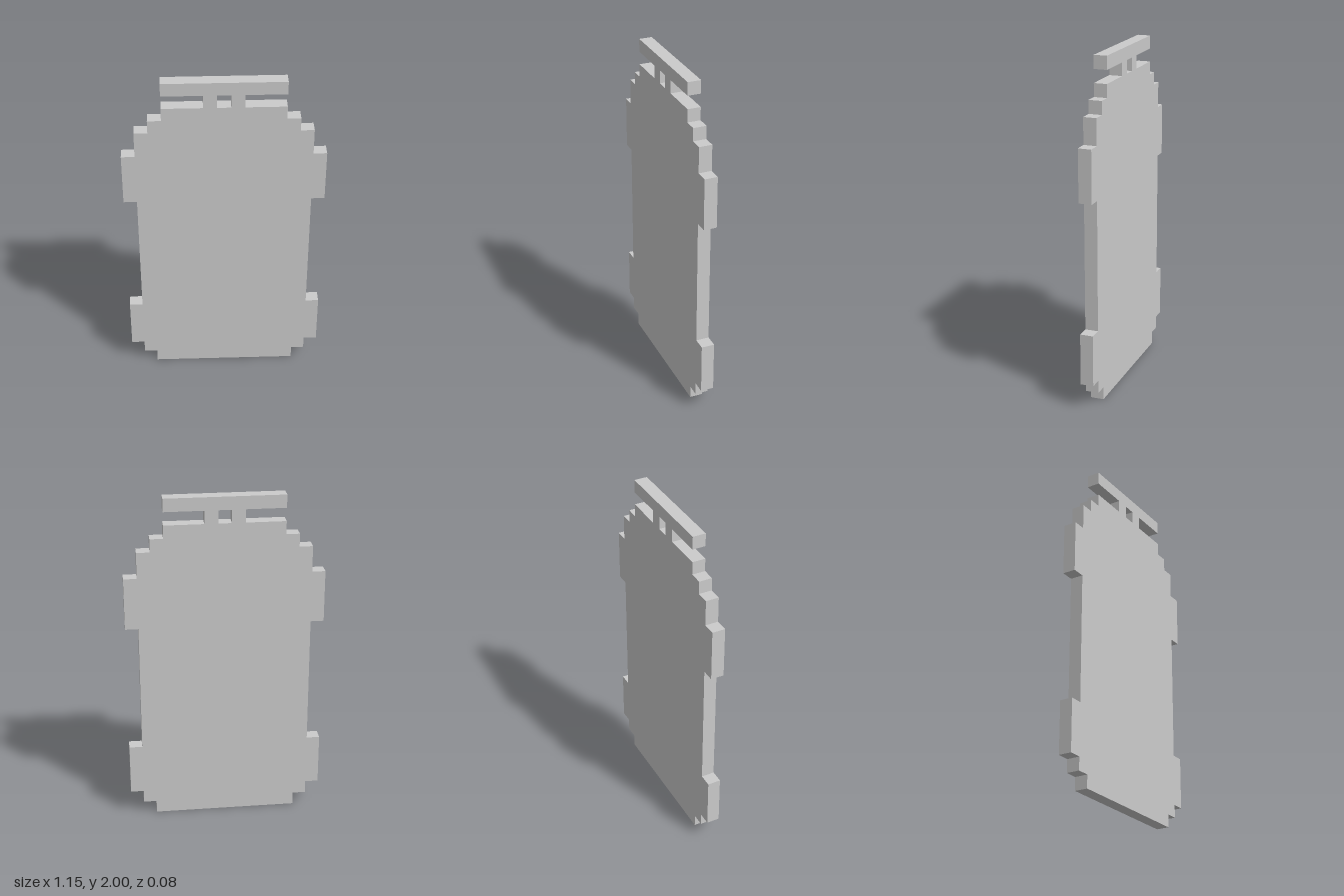
import * as THREE from 'three';

const U = 2 / 26; // one grid cell of the stepped outline

// Right half of the outline, bottom to top: [half width, top of the step], in cells
const steps = [
  [5.5, 1], [6.5, 2],    // tail
  [7.5, 6],              // lower wheels
  [6.5, 16],             // body sides
  [7.5, 20],             // upper wheels
  [6.5, 22], [5.5, 23], [4.5, 24], // stepped nose
  [1.5, 25],             // struts
  [4.5, 26],             // wing bar
];

export function createModel() {
  const group = new THREE.Group();
  group.name = 'steppedCarPlate';

  // Walk up the right side, then mirror back down the left
  const right = [];
  let y = 0;
  for (const [w, top] of steps) {
    right.push(new THREE.Vector2(w * U, y * U), new THREE.Vector2(w * U, top * U));
    y = top;
  }
  const left = right.map((p) => new THREE.Vector2(-p.x, p.y)).reverse();
  const outline = new THREE.Shape([...right, ...left]);

  // Square gap between the two struts
  const gap = [[-0.5, 24], [-0.5, 25], [0.5, 25], [0.5, 24]];
  outline.holes.push(new THREE.Path(gap.map(([x, h]) => new THREE.Vector2(x * U, h * U))));

  // One cell thick, centred on z
  const geometry = new THREE.ExtrudeGeometry(outline, { depth: U, bevelEnabled: false });
  geometry.translate(0, 0, -U / 2);

  const plate = new THREE.Mesh(
    geometry,
    new THREE.MeshStandardMaterial({ color: 0xcccccc, flatShading: true })
  );
  plate.name = 'bodyWithWheelsAndWing';
  group.add(plate);
  return group;
}
